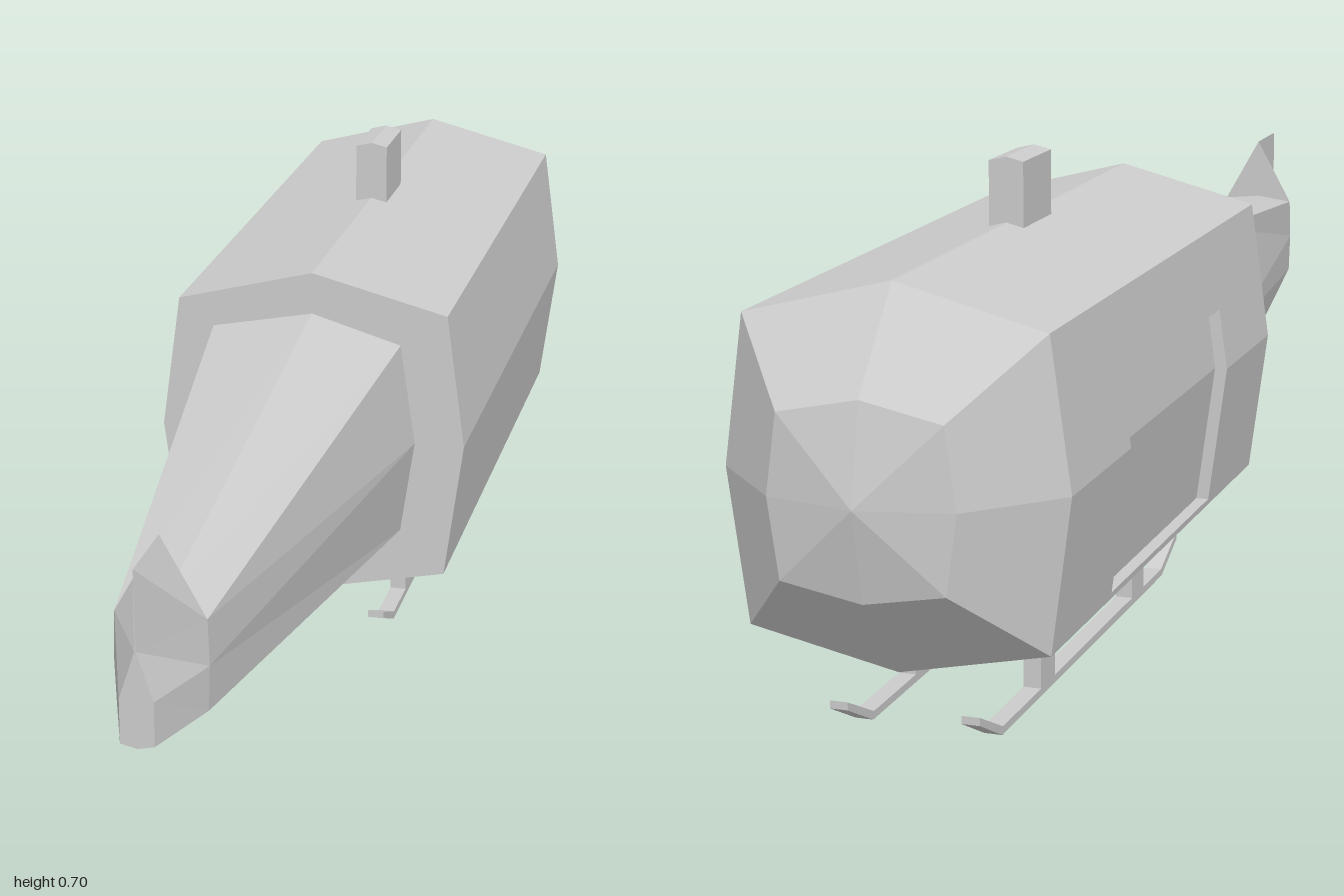
import * as THREE from 'three';

const material = new THREE.MeshStandardMaterial({ color: 0xcccccc, flatShading: true });

function add(parent, name, geometry) {
  const mesh = new THREE.Mesh(geometry, material);
  mesh.name = name;
  parent.add(mesh);
  return mesh;
}

// Completes a half section (bottom to top, x >= 0) to a closed counter-clockwise ring
function mirrorRing(half) {
  const left = half.slice(1, -1).reverse().map(([x, y]) => [-x, y]);
  return [...half, ...left];
}

// Skins rings ordered from -z to +z; each end closes with a fan to a centre point
function loft(rings, startCentre, endCentre) {
  const pos = [];
  const tri = (...pts) => pts.forEach((p) => pos.push(...p));
  const pts = rings.map(({ z, ring }) => ring.map(([x, y]) => [x, y, z]));
  const n = pts[0].length;
  const last = pts[pts.length - 1];
  for (let j = 0; j < n; j++) {
    const k = (j + 1) % n;
    for (let i = 0; i < pts.length - 1; i++) {
      const a = pts[i][j], b = pts[i][k], c = pts[i + 1][k], d = pts[i + 1][j];
      tri(a, b, c);
      tri(a, c, d);
    }
    if (startCentre) tri(startCentre, pts[0][k], pts[0][j]);
    if (endCentre) tri(endCentre, last[j], last[k]);
  }
  const g = new THREE.BufferGeometry();
  g.setAttribute('position', new THREE.Float32BufferAttribute(pos, 3));
  g.computeVertexNormals();
  return g;
}

// Extrudes an outline in x/y between two z positions
function extrude(points, z0, z1) {
  const shape = new THREE.Shape(points.map(([x, y]) => new THREE.Vector2(x, y)));
  return new THREE.ExtrudeGeometry(shape, { depth: z1 - z0, bevelEnabled: false }).translate(0, 0, z0);
}

export function createModel() {
  const model = new THREE.Group();
  model.name = 'helicopter';

  // Cabin: three lengths, the middle one notched for the sunken door
  const cabin = new THREE.Group();
  cabin.name = 'cabin';
  model.add(cabin);
  const section = mirrorRing([[0, 0.105], [0.205, 0.148], [0.233, 0.357], [0.205, 0.56], [0, 0.613]]);
  const door = [[-0.221, 0.445], [-0.203, 0.445], [-0.215, 0.357], [-0.188, 0.157], [-0.206, 0.157]];
  const notched = section.flatMap((p) => (p[0] === -0.233 ? door : [p]));
  add(cabin, 'frontCabin', extrude(section, -0.155, 0.08));
  add(cabin, 'doorBay', extrude(notched, -0.62, -0.155));
  add(cabin, 'rearCabin', extrude(section, -0.86, -0.62));

  // Faceted nose
  const noseRing = mirrorRing([[0, 0.23], [0.11, 0.25], [0.125, 0.357], [0.11, 0.465], [0, 0.488]]);
  add(model, 'nose', loft([{ z: -0.972, ring: noseRing }, { z: -0.86, ring: section }], [0, 0.357, -1]));

  // Tapering tail boom, slightly uneven where it meets the cabin
  const boomRoot = [
    [0, 0.19], [0.137, 0.214], [0.158, 0.357], [0.135, 0.51],
    [0, 0.55], [-0.152, 0.52], [-0.177, 0.357], [-0.148, 0.215],
  ];
  const boomEnd = mirrorRing([[0, 0.292], [0.06, 0.295], [0.062, 0.357], [0.06, 0.42], [0, 0.428]]);
  add(model, 'tailBoom', loft([{ z: 0.08, ring: boomRoot }, { z: 0.89, ring: boomEnd }]));

  // Tail tip narrowing into an upright fin
  const finRoot = mirrorRing([[0, 0.292], [0.06, 0.295], [0.062, 0.357], [0.06, 0.42], [0, 0.528]]);
  const finTip = mirrorRing([[0, 0.29], [0.022, 0.295], [0.022, 0.355], [0.001, 0.42], [0, 0.528]]);
  add(model, 'tailFin', loft(
    [{ z: 0.89, ring: finRoot }, { z: 1, ring: finTip }],
    [0, 0.35, 0.89], [0, 0.34, 1],
  ));

  // Rotor mast with a low gable top
  add(model, 'rotorMast', extrude(
    [[-0.025, 0.59], [0.025, 0.59], [0.025, 0.698], [0, 0.704], [-0.025, 0.698]], -0.45, -0.335,
  ));

  // Skids: runners with turned-up ends, drawn in z/y, and two struts each
  const runner = [
    [-0.02, 0.036], [0.06, 0], [0.77, 0], [0.852, 0.042],
    [0.852, 0.053], [0.767, 0.011], [0.063, 0.011], [-0.02, 0.047],
  ];
  for (const [side, x] of [['left', 0.0875], ['right', -0.0935]]) {
    const skid = new THREE.Group();
    skid.name = side + 'Skid';
    skid.position.x = x;
    model.add(skid);
    add(skid, 'runner', extrude(runner, -0.0125, 0.0125).rotateY(Math.PI / 2));
    for (const z of [-0.182, -0.59]) {
      add(skid, 'strut', new THREE.BoxGeometry(0.025, 0.125, 0.058)).position.set(0, 0.0685, z);
    }
  }
  return model;
}
